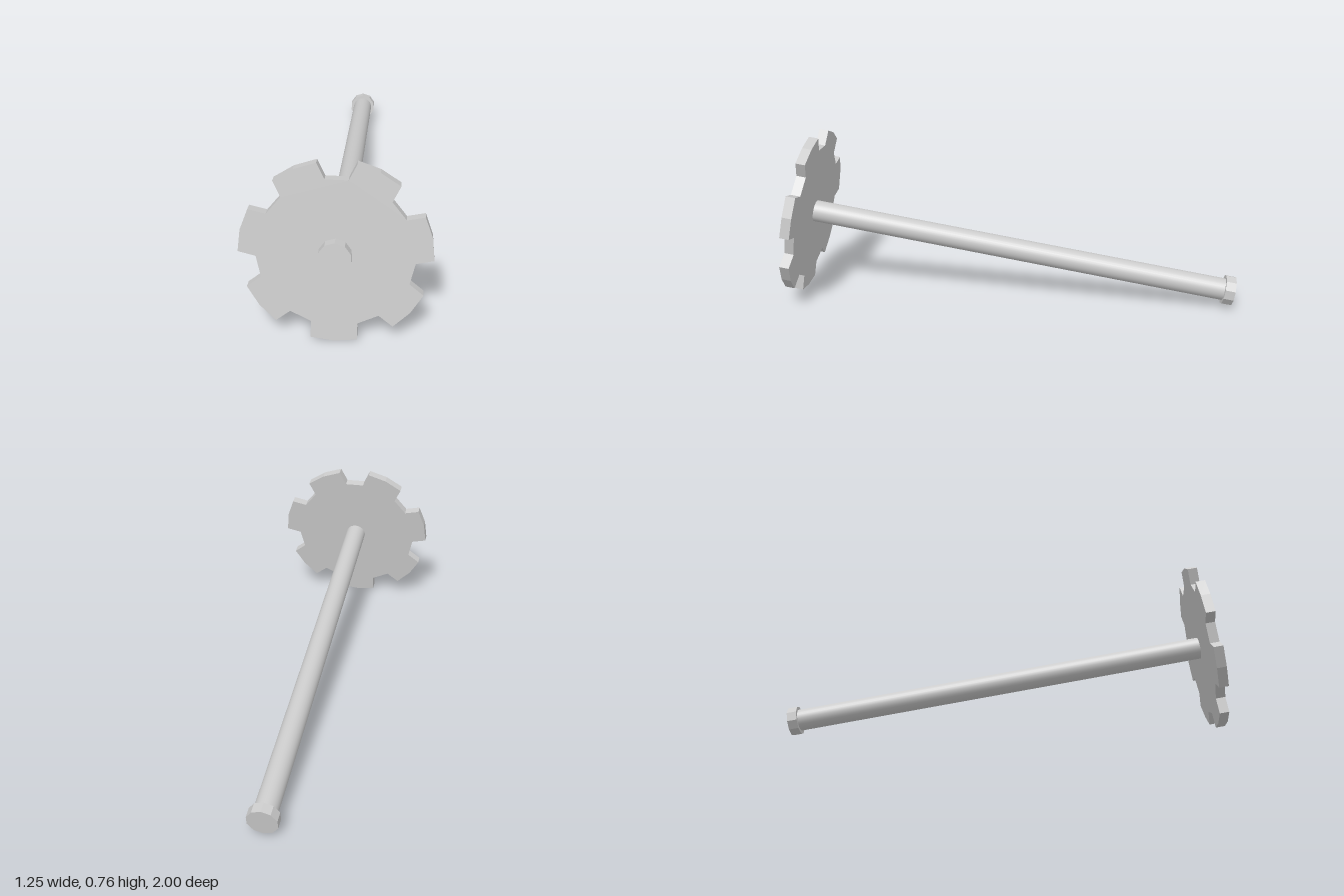
import * as THREE from 'three';

export function createModel() {
  const model = new THREE.Group();
  const material = new THREE.MeshStandardMaterial({ color: 0xcccccc });
  const flat = new THREE.MeshStandardMaterial({ color: 0xcccccc, flatShading: true });

  // Local frame: axle along z, gear's front face at z = 0
  const axle = new THREE.Group();
  axle.name = 'gearAndAxle';
  axle.position.set(-0.277, 0.387, 0.83);
  axle.lookAt(axle.position.clone().add(new THREE.Vector3(-0.47, 0.1725, 1)));
  model.add(axle);

  // Round bar along z between two depths
  const bar = (name, radius, z0, z1, sides, mat) => {
    const geometry = new THREE.CylinderGeometry(radius, radius, z1 - z0, sides);
    geometry.rotateX(Math.PI / 2);
    const mesh = new THREE.Mesh(geometry, mat);
    mesh.name = name;
    mesh.position.z = (z0 + z1) / 2;
    axle.add(mesh);
  };

  // Seven-toothed wheel, one tooth pointing straight down
  const teeth = 7, thickness = 0.043;
  const toothProfile = [[-17.3, 0.313], [-14, 0.383], [0, 0.383], [14, 0.383], [17.3, 0.313]];
  const outline = [];
  for (let i = 0; i < teeth; i++) {
    for (const [offset, radius] of toothProfile) {
      const a = THREE.MathUtils.degToRad(270 + (i * 360) / teeth + offset);
      outline.push(new THREE.Vector2(Math.cos(a) * radius, Math.sin(a) * radius));
    }
  }
  const gear = new THREE.Mesh(
    new THREE.ExtrudeGeometry(new THREE.Shape(outline), { depth: thickness, bevelEnabled: false }),
    material
  );
  gear.name = 'gearWheel';
  gear.position.z = -thickness;
  axle.add(gear);

  // Shaft with a faceted cap at each end
  bar('shaft', 0.05, -1.99, -0.02, 32, material);
  bar('frontHub', 0.067, -0.02, 0.042, 10, flat);
  bar('endCap', 0.067, -2.012, -1.967, 10, flat);

  return model;
}
